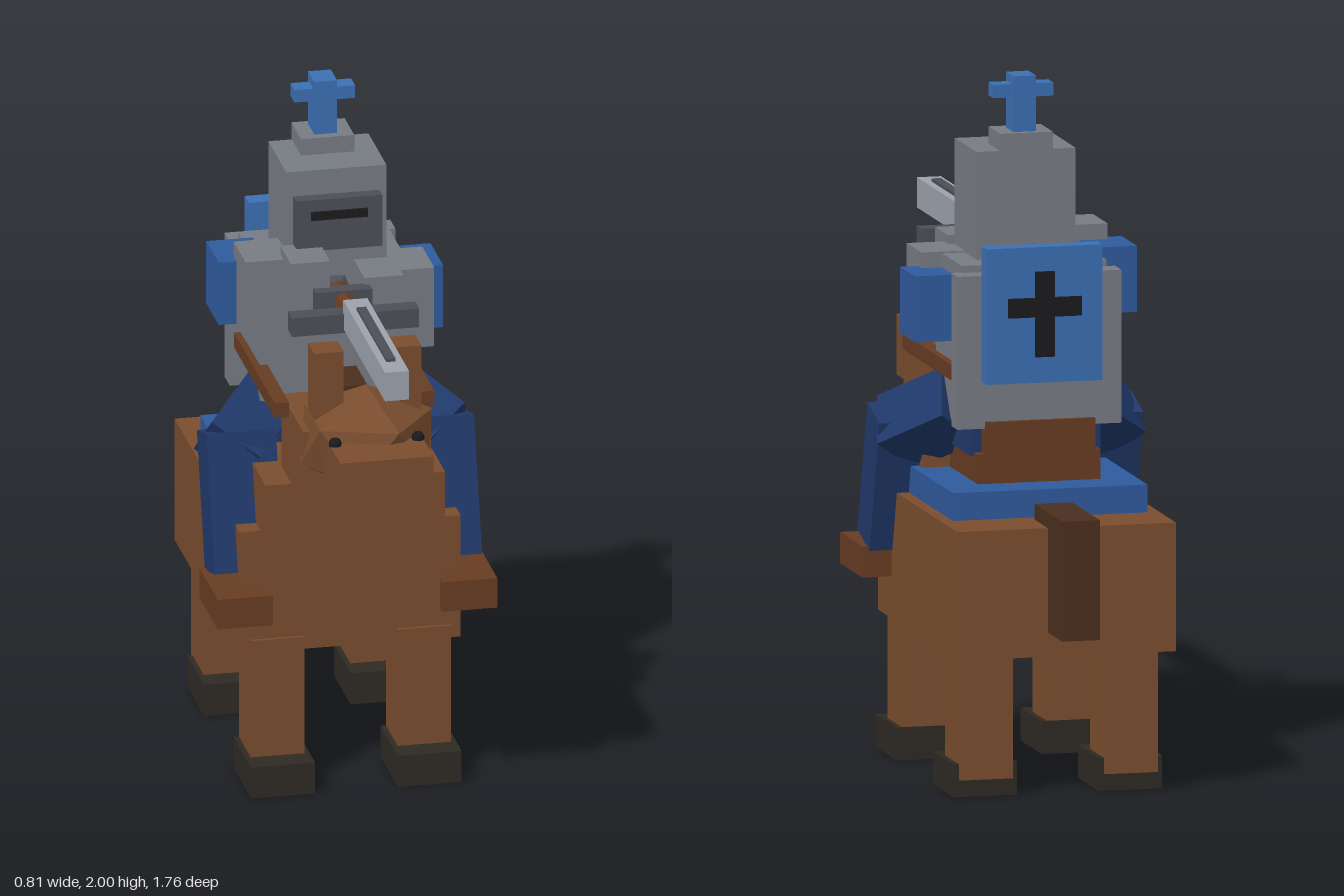
import * as THREE from 'three';

const mat = (color) => new THREE.MeshStandardMaterial({ color, flatShading: true });

export function createModel() {
  const model = new THREE.Group();
  const M = {
    coat: mat(0x7a4d2e), mane: mat(0x4a2f1e), leather: mat(0x673c22), hoof: mat(0x2e2a24),
    steel: mat(0x777b83), darkSteel: mat(0x4c4f57), blade: mat(0x9da2ad), black: mat(0x1b1b1e),
    blue: mat(0x2f5a9e), brightBlue: mat(0x3b70b4), trousers: mat(0x20396b),
  };

  function add(name, geometry, material, x = 0, y = 0, z = 0) {
    const mesh = new THREE.Mesh(geometry, material);
    mesh.name = name;
    mesh.position.set(x, y, z);
    model.add(mesh);
    return mesh;
  }

  // Box given by its limits along each axis
  function box(name, material, [x0, x1], [y0, y1], [z0, z1]) {
    return add(name, new THREE.BoxGeometry(x1 - x0, y1 - y0, z1 - z0), material,
      (x0 + x1) / 2, (y0 + y1) / 2, (z0 + z1) / 2);
  }

  // Two boxes mirrored across x
  function pair(name, material, [x0, x1], ys, zs) {
    box(name + 'Left', material, [x0, x1], ys, zs);
    box(name + 'Right', material, [-x1, -x0], ys, zs);
  }

  // Horse body
  box('horseBody', M.coat, [-0.32, 0.32], [0.41, 0.78], [-0.72, 0.17]);
  box('horseBreast', M.coat, [-0.26, 0.26], [0.53, 0.945], [-0.1, 0.24]);
  box('horseNeck', M.coat, [-0.185, 0.185], [0.67, 1.165], [0.1, 0.4]);
  box('mane', M.mane, [-0.06, 0.06], [0.8, 1.18], [-0.03, 0.12]);
  box('tail', M.mane, [-0.055, 0.055], [0.48, 0.825], [-0.88, -0.57]);

  // Horse legs and hooves
  pair('frontLeg', M.coat, [0.135, 0.29], [0.05, 0.45], [0.02, 0.18]);
  pair('backLeg', M.coat, [0.135, 0.29], [0.05, 0.45], [-0.635, -0.465]);
  pair('frontHoof', M.hoof, [0.12, 0.305], [0, 0.095], [0.018, 0.255]);
  pair('backHoof', M.hoof, [0.12, 0.305], [0, 0.095], [-0.62, -0.39]);

  // Horse head: faceted skull with one corner pointing up
  const skull = new THREE.IcosahedronGeometry(1, 0);
  skull.rotateZ(-Math.atan(2 / (1 + Math.sqrt(5))));
  skull.scale(0.215, 0.16, 0.205);
  add('horseSkull', skull, M.coat, 0, 1.13, 0.385);
  box('muzzle', M.coat, [-0.135, 0.135], [0.995, 1.17], [0.42, 0.67]);
  pair('horseEar', M.coat, [0.07, 0.155], [1.2, 1.405], [0.325, 0.41]);
  for (const s of [-1, 1]) {
    add('horseEye', new THREE.IcosahedronGeometry(0.019, 1), M.black, s * 0.12, 1.175, 0.53);
  }

  // Saddle and tack
  box('saddleBlanket', M.blue, [-0.285, 0.285], [0.78, 0.86], [-0.535, -0.04]);
  box('saddleSeat', M.leather, [-0.18, 0.18], [0.86, 0.945], [-0.41, -0.09]);
  box('saddleCantle', M.leather, [-0.16, 0.16], [0.93, 1.04], [-0.43, -0.375]);
  pair('rein', M.leather, [0.19, 0.232], [1.145, 1.19], [-0.325, 0.23]);
  pair('stirrup', M.leather, [0.245, 0.405], [0.53, 0.62], [0.02, 0.27]);

  // Rider legs: splayed thighs and slanted shins
  box('riderHips', M.trousers, [-0.19, 0.19], [0.935, 1.03], [-0.37, -0.08]);
  const u = new THREE.Vector3(-0.15, 0.1, -0.15).normalize();
  const v = new THREE.Vector3(-0.04, 0.13, 0.1);
  v.addScaledVector(u, -v.dot(u)).normalize();
  const n = u.clone().cross(v);
  for (const s of [-1, 1]) {
    const thigh = new THREE.BoxGeometry(0.235, 0.165, 0.17);
    thigh.applyMatrix4(new THREE.Matrix4().makeBasis(u, v, n));
    if (s < 0) thigh.rotateY(0); // keep a separate geometry per side
    const side = new THREE.Group();
    side.name = s > 0 ? 'riderLegLeft' : 'riderLegRight';
    const upper = new THREE.Mesh(thigh, M.trousers);
    upper.name = 'thigh';
    upper.position.set(0.242, 1.0, -0.092);
    const lower = new THREE.Mesh(new THREE.BoxGeometry(0.2, 0.4, 0.142), M.trousers);
    lower.name = 'shin';
    lower.position.set(0.287, 0.82, 0.022);
    lower.rotation.x = -0.28;
    side.add(upper, lower);
    side.scale.x = s;
    model.add(side);
  }

  // Rider torso
  box('torso', M.steel, [-0.212, 0.212], [1.02, 1.48], [-0.355, -0.065]);
  box('backPlate', M.steel, [-0.24, 0.24], [1.02, 1.46], [-0.415, -0.345]);

  // Arms: the right arm is held slightly higher
  for (const [name, s, lift] of [['Left', 1, 0], ['Right', -1, 0.06]]) {
    const part = (label, m, [x0, x1], [y0, y1], zs) =>
      box(label + name, m, s > 0 ? [x0, x1] : [-x1, -x0], [y0 + lift, y1 + lift], zs);
    part('shoulder', M.blue, [0.19, 0.325], [1.25, 1.44], [-0.265, -0.095]);
    part('forearm', M.steel, [0.14, 0.273], [1.245, 1.485], [-0.135, 0.03]);
    part('gauntlet', M.steel, [0.05, 0.163], [1.33, 1.51], [-0.015, 0.13]);
  }

  // Helmet with visor, eye slit and crest
  box('helmet', M.steel, [-0.145, 0.145], [1.48, 1.79], [-0.265, -0.02]);
  box('helmetCap', M.steel, [-0.077, 0.077], [1.785, 1.84], [-0.27, -0.138]);
  box('visor', M.darkSteel, [-0.125, 0.125], [1.56, 1.715], [-0.03, 0.02]);
  box('eyeSlit', M.black, [-0.082, 0.082], [1.655, 1.68], [0, 0.028]);
  box('crestPost', M.brightBlue, [-0.033, 0.033], [1.84, 2], [-0.25, -0.165]);
  box('crestBar', M.brightBlue, [-0.088, 0.088], [1.937, 1.975], [-0.233, -0.178]);

  // Shield on the back
  box('shield', M.brightBlue, [-0.17, 0.17], [1.155, 1.545], [-0.47, -0.415]);
  box('shieldCrossPost', M.black, [-0.028, 0.028], [1.23, 1.475], [-0.481, -0.46]);
  box('shieldCrossBar', M.black, [-0.107, 0.107], [1.345, 1.4], [-0.481, -0.46]);

  // Sword pointing forward
  const grip = new THREE.CylinderGeometry(0.032, 0.032, 0.23, 8).rotateX(Math.PI / 2);
  add('swordGrip', grip, M.leather, -0.015, 1.455, 0.17);
  add('swordPommel', new THREE.IcosahedronGeometry(0.045, 0), M.darkSteel, -0.015, 1.455, 0.055);
  box('swordCollar', M.darkSteel, [-0.1, 0.065], [1.42, 1.49], [0.12, 0.165]);
  box('swordGuard', M.darkSteel, [-0.2, 0.168], [1.425, 1.482], [0.265, 0.32]);
  box('swordBlade', M.blade, [-0.05, 0.02], [1.435, 1.522], [0.31, 0.88]);
  box('bladeGroove', M.darkSteel, [-0.029, -0.002], [1.51, 1.531], [0.395, 0.8]);

  return model;
}
